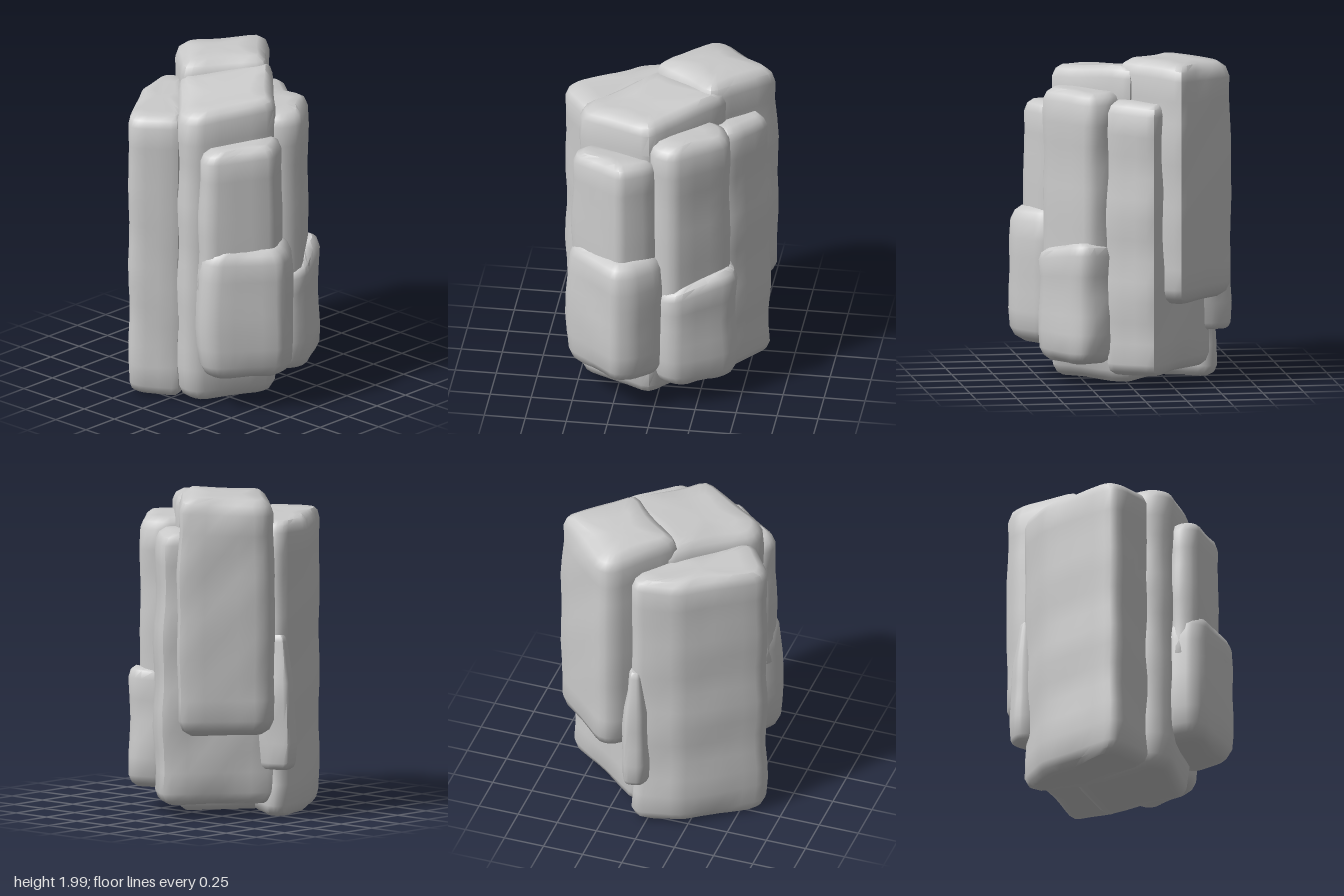
import * as THREE from 'three';
import { toCreasedNormals } from 'three/addons/utils/BufferGeometryUtils.js';

const stone = new THREE.MeshStandardMaterial({ color: 0xcccccc });

// Plan polygon (x, z) with rounded corners and subdivided edges
function outline(corners, radius) {
  const pts = corners.map(([x, z]) => new THREE.Vector2(x, z));
  const n = pts.length;
  const cut = (a, b) => a.clone().lerp(b, Math.min(0.4, radius / a.distanceTo(b)));
  const out = [];
  pts.forEach((p, i) => {
    const next = pts[(i + 1) % n];
    const a = cut(p, pts[(i + n - 1) % n]), b = cut(p, next), end = cut(next, p);
    out.push(a, a.clone().add(b).multiplyScalar(0.25).addScaledVector(p, 0.5));
    const steps = Math.max(1, Math.round(b.distanceTo(end) / 0.09));
    for (let k = 0; k < steps; k++) out.push(b.clone().lerp(end, k / steps));
  });
  return out;
}

// Weathered column lofted from y0 to y1, bevelled at both ends; corners run counterclockwise from above.
// foot, belly, head: width scale at the bottom, at height fraction bellyAt, and at the top.
// tiltX, tiltZ: slope of the top.
function column(name, corners, { y0, y1, seed, radius = 0.06, bevel = 0.07,
  foot = 1, belly = 1, bellyAt = 0.4, head = 1, tiltX = 0, tiltZ = 0, rough = 0.008 }) {
  const plan = outline(corners, radius);
  const n = plan.length, h = y1 - y0;
  const centre = new THREE.Vector2();
  corners.forEach(([cx, cz]) => centre.add(new THREE.Vector2(cx, cz).divideScalar(corners.length)));
  const { x, y: z } = centre;
  const scaleAt = (t) => (t < bellyAt
    ? THREE.MathUtils.lerp(foot, belly, THREE.MathUtils.smoothstep(t, 0, bellyAt))
    : THREE.MathUtils.lerp(belly, head, THREE.MathUtils.smoothstep(t, bellyAt, 1)));

  // Rings as [height above the base, inset]
  const rings = [[0, bevel * 2.2], [0, bevel * 0.9], [bevel * 0.35, bevel * 0.3]];
  const steps = Math.max(3, Math.round(h / 0.14));
  for (let i = 0; i <= steps; i++) rings.push([bevel + (h - 2 * bevel) * i / steps, 0]);
  rings.push([h - bevel * 0.35, bevel * 0.3], [h, bevel * 0.9], [h, bevel * 2.2]);

  const pos = [], index = [];
  const add = (px, py, pz) => {
    const dx = px - x, dz = pz - z, d = Math.hypot(dx, dz) || 1;
    const t = (py - y0) / h;
    const lump = rough * (Math.sin(7 * px + 5 * py + seed * 2.1) * Math.sin(6 * pz - 6 * py + seed * 1.3)
      + 0.6 * Math.sin(13 * py + 9 * px - 8 * pz + seed * 3.7));
    const lift = (tiltX * dx + tiltZ * dz) * t ** 3
      + rough * 0.5 * Math.sin(11 * px + 8 * pz + seed) * (2 * t - 1);
    pos.push(px + lump * dx / d, Math.max(0, py + lift), pz + lump * dz / d);
  };
  rings.forEach(([y, inset]) => plan.forEach((p) => {
    const dx = p.x - x, dz = p.y - z, d = Math.hypot(dx, dz);
    const s = scaleAt(y / h) * (1 - inset / Math.max(d, inset * 1.3));
    add(x + dx * s, y0 + y, z + dz * s);
  }));
  for (let r = 0; r < rings.length - 1; r++) {
    for (let i = 0; i < n; i++) {
      const a = r * n + i, b = r * n + (i + 1) % n;
      index.push(a, b, b + n, a, b + n, a + n);
    }
  }
  // End caps
  const low = pos.length / 3, high = low + 1, last = (rings.length - 1) * n;
  add(x, y0, z);
  add(x, y1, z);
  for (let i = 0; i < n; i++) {
    const j = (i + 1) % n;
    index.push(low, j, i, high, last + i, last + j);
  }
  const geo = new THREE.BufferGeometry();
  geo.setAttribute('position', new THREE.Float32BufferAttribute(pos, 3));
  geo.setIndex(index);
  const mesh = new THREE.Mesh(toCreasedNormals(geo, 0.75), stone);
  mesh.name = name;
  return mesh;
}

export function createModel() {
  const model = new THREE.Group();
  model.name = 'rockColumns';
  const rock = (name, corners, options) => model.add(column(name, corners, options));

  // Tallest block, hanging at the back
  rock('tallBackBlock', [[-0.27, -0.66], [-0.63, -0.28], [-0.62, -0.18], [-0.27, 0.13], [0.09, -0.28]],
    { y0: 0.53, y1: 1.98, seed: 1, bevel: 0.09, foot: 0.98, belly: 1.01, bellyAt: 0.5, head: 0.97, tiltX: 0.07 });
  // Core and the tall columns around it
  rock('coreColumn', [[0, -0.39], [-0.35, 0.06], [0.06, 0.51], [0.2, 0.5], [0.44, 0.04]],
    { y0: 0.02, y1: 1.9, seed: 2, foot: 0.96, bellyAt: 0.15, head: 0.98, tiltX: 0.02, tiltZ: -0.12 });
  rock('frontColumn', [[-0.58, -0.06], [-0.54, 0.2], [-0.23, 0.64], [-0.15, 0.64], [0.06, 0.49], [-0.2, 0.05], [-0.5, -0.12]],
    { y0: 0.01, y1: 1.81, seed: 3, radius: 0.05 });
  rock('rearColumn', [[0.17, -0.41], [-0.11, -0.63], [-0.54, -0.08], [-0.25, 0.1]],
    { y0: 0.09, y1: 1.75, seed: 4, foot: 1, belly: 1.02, head: 0.97 });
  // Side column with a wider block at its foot
  rock('sideColumn', [[0.26, -0.43], [0.11, -0.39], [0, -0.2], [0.25, 0.12], [0.46, 0.01], [0.51, -0.12]],
    { y0: 0.4, y1: 1.8, seed: 5, radius: 0.05 });
  rock('sideLowerBlock', [[0.27, -0.48], [0.1, -0.42], [0.2, 0.02], [0.48, 0], [0.53, -0.13], [0.35, -0.44]],
    { y0: 0.15, y1: 0.85, seed: 6, radius: 0.05, tiltZ: -0.25 });
  // Two stacked blocks at the front side
  rock('frontSideUpperBlock', [[0.41, -0.03], [0.22, 0.15], [0.19, 0.47], [0.27, 0.53], [0.36, 0.52], [0.58, 0.2], [0.49, 0.03]],
    { y0: 0.7, y1: 1.67, seed: 7, radius: 0.04, head: 0.96, tiltX: 0.08, tiltZ: -0.04 });
  rock('frontSideLowerBlock', [[0.42, -0.06], [0.22, 0.15], [0.17, 0.48], [0.3, 0.57], [0.4, 0.55], [0.67, 0.22], [0.64, 0.1], [0.51, -0.04]],
    { y0: 0.22, y1: 1.04, seed: 8, radius: 0.04, bevel: 0.08, foot: 0.94, belly: 1.01, head: 0.93 });
  // Small wedge between the front column and the tall block
  rock('smallWedge', [[-0.55, -0.17], [-0.67, -0.11], [-0.65, 0], [-0.58, 0.03], [-0.38, 0.02], [-0.42, -0.18]],
    { y0: 0.31, y1: 1.12, seed: 9, radius: 0.03, bevel: 0.04, foot: 0.85, bellyAt: 0.25, head: 0.55 });
  return model;
}
